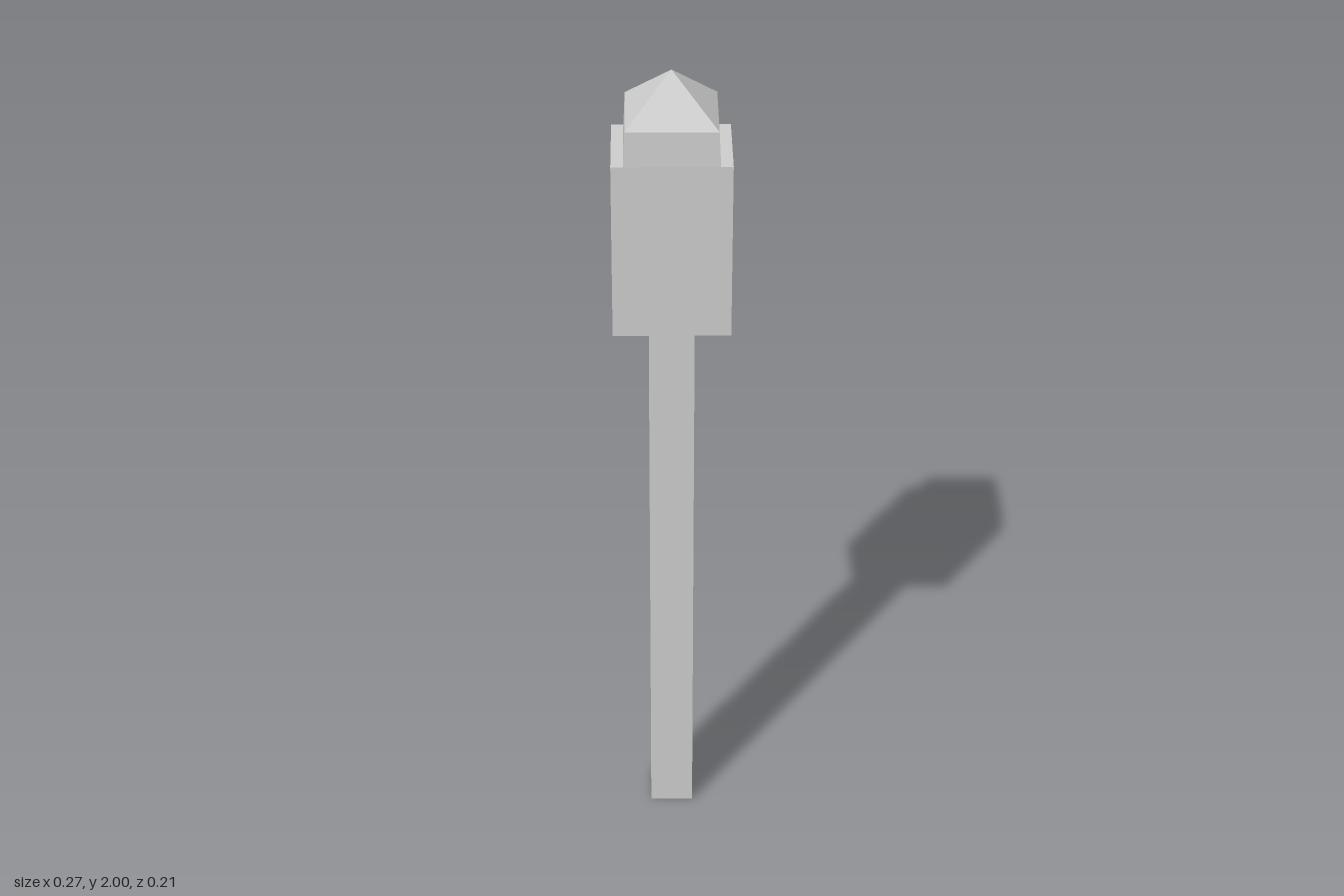
import * as THREE from 'three';

// Four-sided frustum centred on the y axis: half-widths at the bottom and the top.
function frustum(bottom, top, y0, y1, caps) {
  const ring = ([x, z], y) => [[-x, y, z], [x, y, z], [x, y, -z], [-x, y, -z]];
  const a = ring(bottom, y0);
  const b = ring(top, y1);
  const pos = [];
  const quad = (p, q, r, s) => pos.push(...p, ...q, ...r, ...p, ...r, ...s);
  for (let i = 0; i < 4; i++) {
    const j = (i + 1) % 4;
    if (top[0] === 0) pos.push(...a[i], ...a[j], ...b[0]);
    else quad(a[i], a[j], b[j], b[i]);
  }
  if (caps.includes('bottom')) quad(a[3], a[2], a[1], a[0]);
  if (caps.includes('top')) quad(b[0], b[1], b[2], b[3]);
  const geometry = new THREE.BufferGeometry();
  geometry.setAttribute('position', new THREE.Float32BufferAttribute(pos, 3));
  geometry.computeVertexNormals();
  return geometry;
}

export function createModel() {
  const model = new THREE.Group();
  model.name = 'post';
  const grey = new THREE.MeshStandardMaterial({ color: 0xcccccc, side: THREE.DoubleSide });
  grey.name = 'light grey';

  const add = (name, ...args) => {
    const mesh = new THREE.Mesh(frustum(...args), grey);
    mesh.name = name;
    model.add(mesh);
  };

  // Square hollow pole, open at the foot
  add('pole', [0.052, 0.052], [0.052, 0.052], 0, 1.4, []);
  // Wide head block
  add('headBlock', [0.133, 0.106], [0.133, 0.106], 1.4, 1.82, ['bottom', 'top']);
  // Slightly tapering collar under the cap
  add('collar', [0.106, 0.106], [0.102, 0.102], 1.82, 1.9, []);
  // Pyramid cap
  add('cap', [0.102, 0.102], [0, 0], 1.9, 2, []);

  return model;
}
